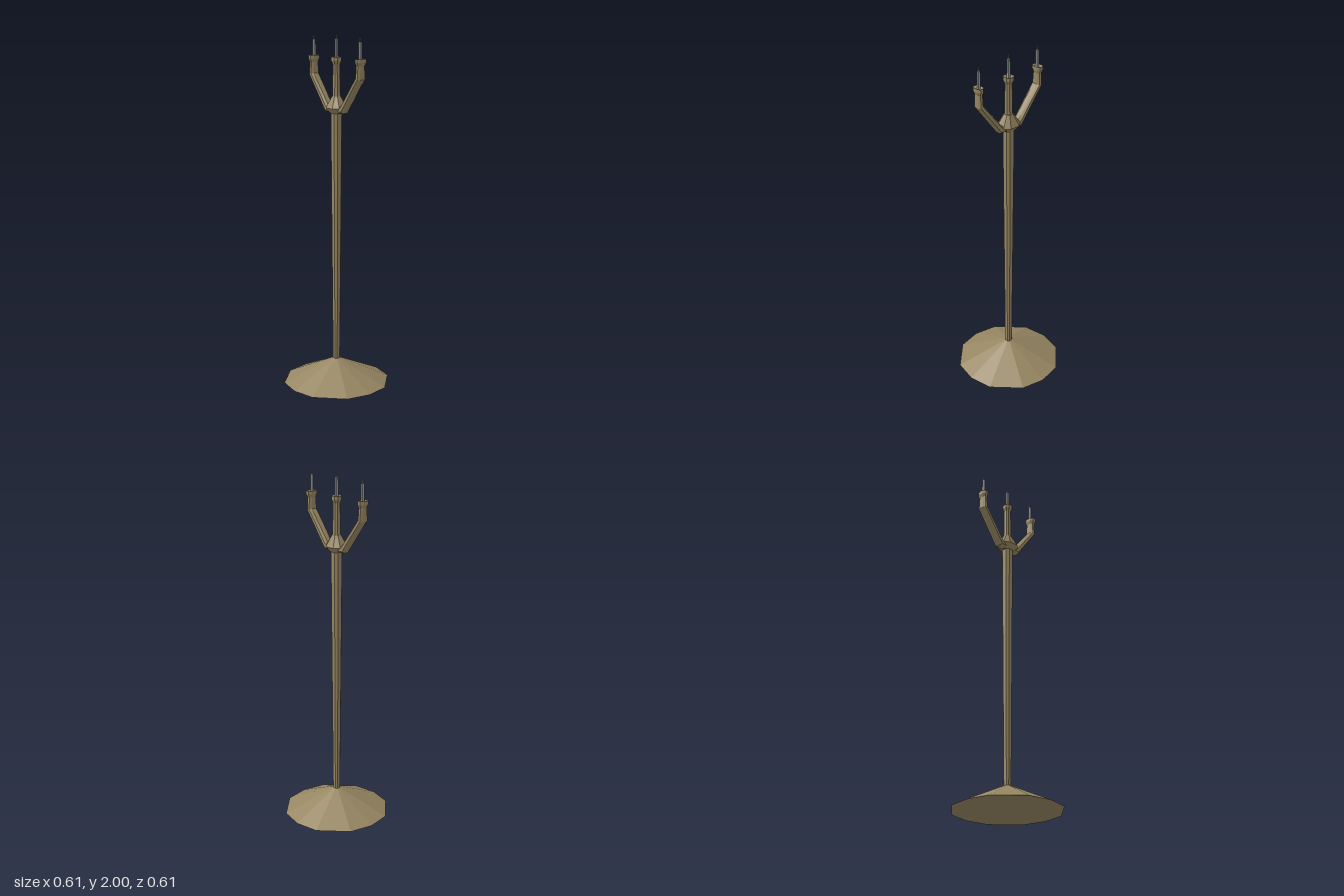
import * as THREE from 'three';

const bronze = new THREE.MeshStandardMaterial({ color: 0x968662, flatShading: true });
const pewter = new THREE.MeshStandardMaterial({ color: 0x999999, flatShading: true });

// Chamfered-square sections, as [in-plane, z] factors
const OCTAGON = [[1, -0.5], [1, 0.5], [0.5, 1], [-0.5, 1], [-1, 0.5], [-1, -0.5], [-0.5, -1], [0.5, -1]];
const DODECAGON = [[1, 0], [0.91, 0.45], [0.45, 0.91], [0, 1], [-0.45, 0.91], [-0.91, 0.45],
  [-1, 0], [-0.91, -0.45], [-0.45, -0.91], [0, -1], [0.45, -0.91], [0.91, -0.45]];
const SQUARE = [[1, -1], [1, 1], [-1, 1], [-1, -1]];

// Closed loft through rings [x, y, halfWidth, halfDepth, tilt towards +x]
function loft(name, rings, section = OCTAGON, material = bronze) {
  const pos = [], index = [], n = section.length;
  for (const [x, y, a, b, tilt = 0] of rings) {
    for (const [u, w] of section) {
      pos.push(x + u * a * Math.cos(tilt), y - u * a * Math.sin(tilt), w * b);
    }
  }
  const last = (rings.length - 1) * n;
  for (let i = 0; i < last; i += n) {
    for (let j = 0; j < n; j++) {
      const k = (j + 1) % n;
      index.push(i + j, i + n + j, i + k, i + k, i + n + j, i + n + k);
    }
  }
  for (let j = 1; j < n - 1; j++) {
    index.push(0, j, j + 1, last, last + j + 1, last + j);
  }
  const geometry = new THREE.BufferGeometry();
  geometry.setAttribute('position', new THREE.Float32BufferAttribute(pos, 3));
  geometry.setIndex(index);
  geometry.computeVertexNormals();
  const mesh = new THREE.Mesh(geometry, material);
  mesh.name = name;
  return mesh;
}

// Square pin with a fine wick on top
function spike(x, top) {
  const group = new THREE.Group();
  group.name = 'spike';
  group.add(
    loft('pin', [[x, 1.86, 0.007, 0.007], [x, top - 0.02, 0.006, 0.006]], SQUARE, pewter),
    loft('wick', [[x, top - 0.02, 0.002, 0.002], [x, top, 0.002, 0.002]], SQUARE, pewter),
  );
  return group;
}

export function createModel() {
  const model = new THREE.Group();
  model.name = 'candelabrum';

  // Foot and tapering stem
  model.add(loft('base', [[0, 0, 0.305, 0.305], [0, 0.135, 0.018, 0.018]], DODECAGON));
  model.add(loft('stem', [[0, 0.1, 0.018, 0.018], [0, 1.58, 0.029, 0.029]]));

  // Bulging hub where the arms meet
  model.add(loft('hub', [
    [0, 1.57, 0.032, 0.03], [0, 1.6, 0.06, 0.053], [0, 1.615, 0.052, 0.046], [0, 1.665, 0.023, 0.023],
  ]));

  // Centre post with a flared, dished cup
  model.add(loft('centrePost', [
    [0, 1.65, 0.021, 0.021], [0, 1.84, 0.018, 0.018], [0, 1.86, 0.026, 0.027],
    [0, 1.88, 0.026, 0.027], [0, 1.87, 0.007, 0.007],
  ]));
  model.add(spike(0, 2));

  // Mirrored side arms
  for (const s of [1, -1]) {
    model.add(loft(s > 0 ? 'leftArm' : 'rightArm', [
      [s * 0.02, 1.592, 0.02, 0.027, s * Math.PI / 2],
      [s * 0.068, 1.594, 0.021, 0.027, s * 1.12],
      [s * 0.208, 1.774, 0.016, 0.027, s * 0.33],
      [s * 0.209, 1.842, 0.014, 0.023],
      [s * 0.21, 1.86, 0.02, 0.031],
      [s * 0.21, 1.88, 0.02, 0.031],
      [s * 0.207, 1.87, 0.007, 0.007],
    ]));
    model.add(spike(s * 0.206, 1.99));
  }
  return model;
}
